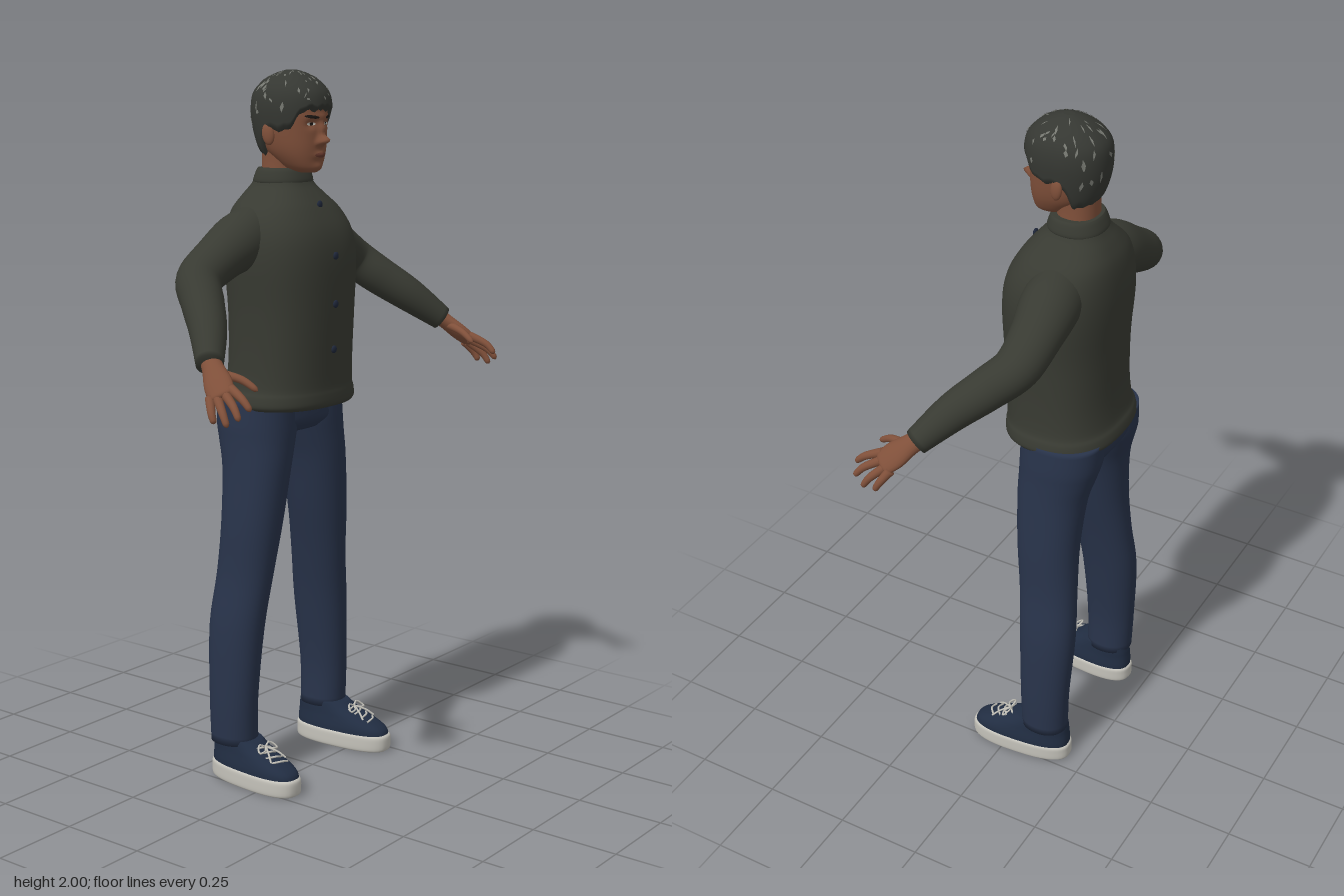
import * as THREE from 'three';

const mat = (name, color, side = THREE.FrontSide) => {
  const m = new THREE.MeshStandardMaterial({ color, side });
  m.name = name;
  return m;
};

// Smooth interpolation of every column of a table of sections, t in 0..1
function sample(rows, t) {
  const f = t * (rows.length - 1), i = Math.min(Math.floor(f), rows.length - 2), k = f - i;
  const at = j => rows[Math.max(0, Math.min(rows.length - 1, j))];
  return rows[0].map((_, c) => {
    const [a, b, d, e] = [at(i - 1)[c], at(i)[c], at(i + 1)[c], at(i + 2)[c]];
    return b + 0.5 * k * (d - a + k * (2 * a - 5 * b + 4 * d - e + k * (3 * (b - d) + e - a)));
  });
}

// Closed surface through rings of points; point(i, a) gives the vertex at ring i, angle a
function skin(rings, seg, point, caps = true) {
  const pos = [], idx = [];
  for (let i = 0; i < rings; i++)
    for (let j = 0; j < seg; j++) pos.push(...point(i, (j / seg) * Math.PI * 2));
  for (let i = 0; i < rings - 1; i++)
    for (let j = 0; j < seg; j++) {
      const a = i * seg + j, b = i * seg + (j + 1) % seg;
      idx.push(a, b, b + seg, a, b + seg, a + seg);
    }
  if (caps) for (const r of [0, rings - 1]) {
    const c = pos.length / 3, mid = [0, 0, 0];
    for (let j = 0; j < seg; j++) for (let k = 0; k < 3; k++) mid[k] += pos[(r * seg + j) * 3 + k] / seg;
    pos.push(...mid);
    for (let j = 0; j < seg; j++) {
      const a = r * seg + j, b = r * seg + (j + 1) % seg;
      idx.push(...(r ? [a, b, c] : [b, a, c]));
    }
  }
  const g = new THREE.BufferGeometry();
  g.setAttribute('position', new THREE.Float32BufferAttribute(pos, 3));
  g.setIndex(idx);
  g.computeVertexNormals();
  return g;
}

// Superellipse point of an upright section [y, centreX, halfWidth, zFront, zBack]
const sectionPoint = ([y, cx, rx, zf, zb], a, n) => {
  const p = v => Math.sign(v) * Math.abs(v) ** (2 / n);
  return [cx + rx * p(Math.sin(a)), y, (zf + zb) / 2 + (zf - zb) / 2 * p(Math.cos(a))];
};
function loft(rows, { n = 2.3, seg = 40, sub = 4, move = p => p } = {}) {
  const count = (rows.length - 1) * sub + 1;
  return skin(count, seg, (i, a) => move(sectionPoint(sample(rows, i / (count - 1)), a, n)));
}
function sectionAt(rows, y) {
  let lo = 0, hi = 1;
  for (let i = 0; i < 30; i++) {
    const m = (lo + hi) / 2;
    if (sample(rows, m)[0] < y) lo = m; else hi = m;
  }
  return sample(rows, lo);
}
function frontZ(rows, x, y, n) {
  const [, cx, rx, zf, zb] = sectionAt(rows, y);
  const k = Math.max(0, 1 - Math.abs((x - cx) / rx) ** n);
  return (zf + zb) / 2 + (zf - zb) / 2 * k ** (1 / n);
}

// Tapering limb through rows [x, y, z, halfWidth, halfThickness]
function limb(rows, { across = [0, 0, 1], seg = 20, sub = 6, round = true } = {}) {
  const count = (rows.length - 1) * sub + 1, ax = new THREE.Vector3(...across);
  const frames = Array.from({ length: count }, (_, i) => {
    const t = i / (count - 1), r = sample(rows, t);
    const d = new THREE.Vector3(...sample(rows, Math.min(1, t + 0.01)).slice(0, 3))
      .sub(new THREE.Vector3(...sample(rows, Math.max(0, t - 0.01)).slice(0, 3))).normalize();
    const u = ax.clone().addScaledVector(d, -ax.dot(d)).normalize();
    const s = round && t > 0.8 ? Math.sqrt(Math.max(0.03, 1 - ((t - 0.8) / 0.2) ** 2)) : 1;
    return { c: new THREE.Vector3(r[0], r[1], r[2]), u, v: u.clone().cross(d), ru: r[3] * s, rv: r[4] * s };
  });
  return skin(count, seg, (i, a) => {
    const { c, u, v, ru, rv } = frames[i];
    return c.clone().addScaledVector(u, ru * Math.sin(a)).addScaledVector(v, rv * Math.cos(a)).toArray();
  });
}

function mirrored(g) {
  const m = g.clone().applyMatrix4(new THREE.Matrix4().makeScale(-1, 1, 1)), ix = m.index;
  for (let i = 0; i < ix.count; i += 3) {
    const b = ix.getX(i + 1);
    ix.setX(i + 1, ix.getX(i + 2));
    ix.setX(i + 2, b);
  }
  return m;
}

// Sections, bottom to top
const TORSO = [[1.078, 0, .19, .064, -.242], [1.09, 0, .198, .072, -.25], [1.115, 0, .194, .072, -.246],
  [1.14, 0, .185, .07, -.236], [1.22, 0, .181, .073, -.228], [1.35, 0, .183, .079, -.228], [1.48, 0, .192, .081, -.236],
  [1.56, 0, .185, .068, -.234], [1.62, 0, .158, .036, -.224], [1.66, 0, .115, .004, -.205],
  [1.69, 0, .084, -.022, -.185], [1.715, 0, .074, -.034, -.171], [1.73, 0, .071, -.038, -.167]];
const LEG = [[.115, .208, .06, -.052, -.19], [.25, .21, .058, -.048, -.195], [.45, .194, .064, -.038, -.205],
  [.6, .17, .065, -.025, -.196], [.75, .15, .076, -.01, -.19], [.9, .128, .084, 0, -.2],
  [.98, .113, .094, .001, -.22], [1.03, .105, .101, .001, -.232], [1.1, .1, .1, 0, -.234]];
const HEAD = [[1.724, 0, .022, .006, -.045], [1.735, 0, .044, .017, -.08], [1.76, 0, .062, .023, -.115],
  [1.79, 0, .075, .027, -.15], [1.83, 0, .083, .028, -.17], [1.88, 0, .087, .028, -.174], [1.92, 0, .084, .025, -.17],
  [1.95, 0, .066, .006, -.148], [1.975, 0, .038, -.02, -.12], [1.985, 0, .012, -.06, -.085]];
const HAIR = [[1.77, 0, .075, 0, -.155], [1.8, 0, .086, .03, -.172], [1.85, 0, .094, .04, -.186],
  [1.9, 0, .097, .043, -.19], [1.94, 0, .089, .035, -.183], [1.97, 0, .068, .008, -.155],
  [1.99, 0, .04, -.026, -.12], [2, 0, .012, -.058, -.087]];
// Face relief: [x, y, spreadX, spreadY, height]
const RELIEF = [[0, 1.812, .011, .013, .032], [0, 1.843, .009, .018, .015], [0, 1.875, .04, .009, .005],
  [.032, 1.855, .014, .01, -.008], [-.032, 1.855, .014, .01, -.008], [.013, 1.806, .007, .007, .008],
  [-.013, 1.806, .007, .007, .008], [0, 1.772, .018, .009, .008], [0, 1.738, .02, .012, .006]];
const relief = (x, y) => RELIEF.reduce((s, [cx, cy, sx, sy, h]) =>
  s + h * Math.exp(-(((x - cx) / sx) ** 2) - ((y - cy) / sy) ** 2), 0);
const faceZ = (x, y) => frontZ(HEAD, x, y, 2.2) + relief(x, y);

// Thin oval laid over the face
function faceOval(cx, cy, rx, ry, tilt = 0, lift = .002) {
  const g = new THREE.RingGeometry(.001, 1, 20, 4), p = g.attributes.position;
  for (let i = 0; i < p.count; i++) {
    const x = cx + p.getX(i) * rx, y = cy + p.getY(i) * ry + tilt * p.getX(i) * rx;
    p.setXYZ(i, x, y, faceZ(x, y) + lift);
  }
  g.computeVertexNormals();
  return g;
}

export function createModel() {
  const M = {
    sweater: mat('dark olive knit', 0x383a32), trousers: mat('navy trousers', 0x28334a),
    skin: mat('skin', 0x80503a), hair: mat('dark hair', 0x353732), grey: mat('grey hair', 0x74766f, THREE.DoubleSide),
    shoe: mat('navy canvas', 0x212d42), white: mat('off white', 0xc4c2ba), button: mat('navy button', 0x1f273a),
    lips: mat('lips', 0x683a2e), dark: mat('eye and brow', 0x1d1815),
  };
  const model = new THREE.Group();
  model.name = 'standingMan';
  const add = (name, geo, m, parent = model) => {
    const mesh = new THREE.Mesh(geo, m);
    mesh.name = name;
    parent.add(mesh);
    return mesh;
  };
  const pair = (name, geo, m) => {
    add('left' + name, geo, m);
    add('right' + name, mirrored(geo), m);
  };

  // Sweater with collar and buttons
  add('sweaterBody', loft(TORSO, { n: 2.5, seg: 56 }), M.sweater);
  add('collar', loft([[1.69, 0, .078, -.03, -.178], [1.7, 0, .083, -.025, -.182], [1.725, 0, .077, -.032, -.173],
    [1.735, 0, .071, -.038, -.167]]), M.sweater);
  for (const y of [1.637, 1.5, 1.367, 1.24]) {
    const b = new THREE.SphereGeometry(.011, 16, 10).scale(1, 1, .5);
    add('button', b.translate(0, y, frontZ(TORSO, 0, y, 2.5) + .001), M.button);
  }
  pair('Sleeve', limb([[.08, 1.575, -.108, .07, .07], [.17, 1.543, -.115, .08, .08], [.26, 1.5, -.122, .066, .07],
    [.345, 1.452, -.115, .059, .063], [.395, 1.4, -.06, .056, .058], [.455, 1.34, .01, .05, .05],
    [.528, 1.268, .078, .036, .036]], { across: [.3, 1, .1], seg: 28, round: false }), M.sweater);

  // Hands
  const across = [.04, -.035, -.045];
  pair('Palm', limb([[.508, 1.288, .056, .027, .024], [.53, 1.26, .09, .029, .021], [.552, 1.228, .125, .038, .019],
    [.568, 1.206, .15, .036, .015], [.574, 1.196, .16, .03, .013]], { across }), M.skin);
  const fingers = [['Thumb', [.53, 1.25, .1], [.508, 1.236, .165], [.497, 1.21, .21]],
    ['IndexFinger', [.55, 1.22, .165], [.563, 1.198, .215], [.565, 1.172, .243]],
    ['MiddleFinger', [.562, 1.208, .155], [.585, 1.18, .205], [.595, 1.15, .23]],
    ['RingFinger', [.575, 1.198, .142], [.598, 1.163, .18], [.605, 1.132, .2]],
    ['LittleFinger', [.583, 1.195, .125], [.603, 1.162, .147], [.608, 1.137, .16]]];
  for (const [name, a, b, c] of fingers)
    pair(name, limb([[...a, .013, .013], [...b, .0105, .0105], [...c, .008, .008]], { across, seg: 12 }), M.skin);

  // Trousers
  pair('TrouserLeg', loft(LEG, { n: 2.2, seg: 36 }), M.trousers);
  add('trouserSeat', loft([[1.005, 0, .13, -.02, -.19], [1.03, 0, .195, 0, -.225], [1.06, 0, .203, .002, -.234],
    [1.1, 0, .195, 0, -.234]], { n: 2.5 }), M.trousers);

  // Shoes, turned slightly outward
  const place = g => g.translate(0, 0, .04).rotateY(.08).translate(.208, 0, -.04);
  pair('ShoeSole', place(loft([[0, 0, .054, .104, -.19], [.006, 0, .06, .113, -.199], [.03, 0, .061, .115, -.2],
    [.046, 0, .06, .113, -.199], [.052, 0, .054, .104, -.19]], { n: 2.6 })), M.white);
  pair('ShoeUpper', place(loft([[.04, 0, .057, .109, -.194], [.06, 0, .057, .104, -.195], [.075, 0, .055, .085, -.194],
    [.092, 0, .052, .045, -.192], [.11, 0, .05, 0, -.19], [.13, 0, .048, -.035, -.186]], { n: 2.6 })), M.shoe);
  const lace = pts => place(new THREE.TubeGeometry(
    new THREE.CatmullRomCurve3(pts.map(p => new THREE.Vector3(...p))), 14, .003, 6));
  for (let i = 0; i < 4; i++) {
    const z = .06 - i * .022, y = .091 + i * .0085;
    pair('Lace', lace([[-.026, y - .006, z - .004], [0, y + .002, z], [.026, y - .002, z - .018]]), M.white);
  }
  for (const s of [-1, 1]) {
    pair('LaceLoop', lace([[0, .12, -.005], [s * .02, .128, -.01], [s * .036, .112, .006], [s * .018, .114, .01],
      [0, .119, -.004]]), M.white);
    pair('LaceEnd', lace([[0, .12, -.004], [s * .018, .108, .025], [s * .03, .092, .045]]), M.white);
  }

  // Neck, head and face
  add('neck', loft([[1.62, 0, .066, -.04, -.165], [1.7, 0, .06, -.047, -.16], [1.76, 0, .058, -.05, -.158],
    [1.81, 0, .06, -.05, -.155]]), M.skin);
  add('head', loft(HEAD, { n: 2.2, seg: 96, sub: 8,
    move: ([x, y, z]) => [x, y, z > -.05 ? z + relief(x, y) : z] }), M.skin);
  add('mouth', faceOval(0, 1.772, .022, .007), M.lips);
  pair('Eye', faceOval(.032, 1.856, .013, .0045), M.white);
  pair('Iris', faceOval(.031, 1.856, .005, .0045, 0, .0035), M.dark);
  pair('Eyebrow', faceOval(.034, 1.875, .02, .0045, .12, .003), M.dark);
  pair('Ear', new THREE.SphereGeometry(1, 18, 14).scale(.01, .03, .018).rotateX(-.15).rotateY(-.25)
    .translate(.088, 1.828, -.085), M.skin);

  // Hair cap with a hairline that drops behind the ears
  const step = THREE.MathUtils.smoothstep;
  const hairline = a => {
    const b = a > Math.PI ? 2 * Math.PI - a : a;
    return 1.903 - .055 * step(b, .6, 1.2) - .065 * step(b, 1.7, 2.2) + .004 * Math.sin(b * 17);
  };
  const hairPoint = (a, t, grow = 1) => {
    const y0 = hairline(a), y = y0 + (2 - y0) * Math.sin(t * Math.PI / 2);
    const p = sectionPoint(sectionAt(HAIR, y), a, 2.2);
    return [p[0] * grow, p[1] + (grow - 1) * .1, (p[2] + .073) * grow - .073];
  };
  add('hair', skin(26, 72, (i, a) => hairPoint(a, Math.max(0, i - 1) / 24, i ? 1 : .86)), M.hair);

  // Scattered grey locks
  let seed = 7;
  const rand = () => (seed = (seed * 16807) % 2147483647) / 2147483647;
  const pos = [], idx = [];
  for (let i = 0; i < 70; i++) {
    const a = rand() * Math.PI * 2, t = .08 + rand() * .68, len = .06 + rand() * .08, w = .025 + rand() * .035;
    const lean = (rand() - .5) * .2, k = pos.length / 3;
    const turn = v => (v + Math.PI * 2) % (Math.PI * 2);
    pos.push(...hairPoint(turn(a), t, 1.015), ...hairPoint(turn(a + w + lean / 2), t + len / 2, 1.02),
      ...hairPoint(turn(a + lean), t + len, 1.015), ...hairPoint(turn(a - w + lean / 2), t + len / 2, 1.02));
    idx.push(k, k + 1, k + 2, k, k + 2, k + 3);
  }
  const locks = new THREE.BufferGeometry();
  locks.setAttribute('position', new THREE.Float32BufferAttribute(pos, 3));
  locks.setIndex(idx);
  locks.computeVertexNormals();
  add('greyLocks', locks, M.grey);

  return model;
}
